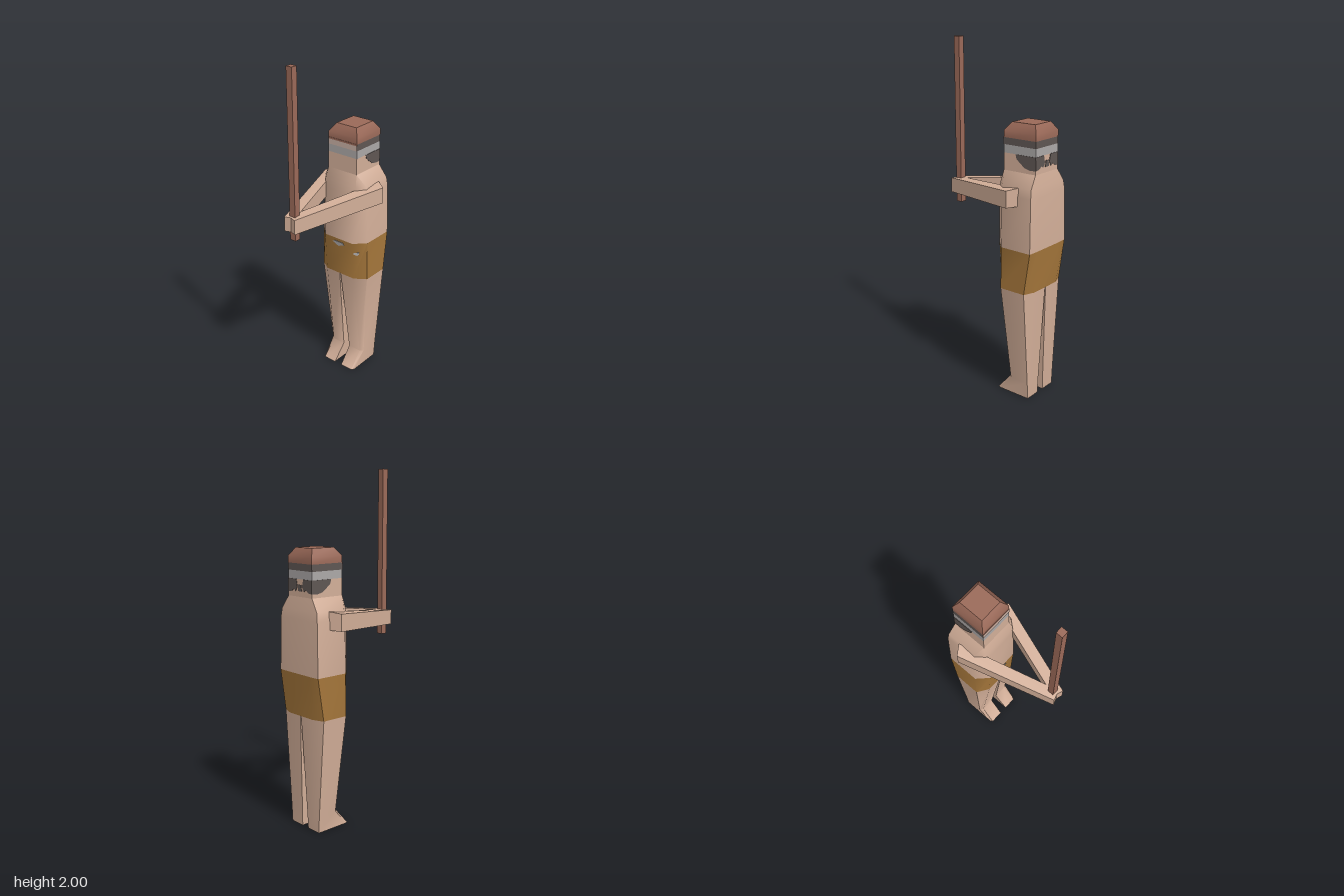
import * as THREE from 'three';
import { toCreasedNormals } from 'three/addons/utils/BufferGeometryUtils.js';

const mat = (name, color) => {
  const m = new THREE.MeshStandardMaterial({ color });
  m.name = name;
  return m;
};

// Mirror a half outline (front to back, x > 0) into a closed ring
const flip = (pts) => pts.map(([x, z]) => [-x, z]).reverse();
const full = (half) => [...half, ...flip(half)];

// Skin a stack of rings [y, points] from bottom to top, closing both ends
function loft(rings) {
  const n = rings[0][1].length;
  const pos = rings.flatMap(([y, pts]) => pts.flatMap(([x, z]) => [x, y, z]));
  const idx = [];
  for (let r = 0; r < rings.length - 1; r++) {
    for (let i = 0; i < n; i++) {
      const a = r * n + i, b = r * n + (i + 1) % n;
      idx.push(a, b, b + n, a, b + n, a + n);
    }
  }
  const top = (rings.length - 1) * n;
  for (let i = 1; i < n - 1; i++) {
    idx.push(0, i + 1, i, top, top + i, top + i + 1);
  }
  const g = new THREE.BufferGeometry();
  g.setAttribute('position', new THREE.Float32BufferAttribute(pos, 3));
  g.setIndex(idx);
  return toCreasedNormals(g, 0.9);
}

// Thin painted plate from a 2D outline
function plate(points) {
  const shape = new THREE.Shape(points.map(([x, y]) => new THREE.Vector2(x, y)));
  return new THREE.ExtrudeGeometry(shape, { depth: 0.003, bevelEnabled: false });
}

export function createModel() {
  const model = new THREE.Group();
  model.name = 'figure';
  const skin = mat('skin', 0xd2ae98);
  const brown = mat('reddish brown', 0x9a6958);
  const cloth = mat('ochre cloth', 0xa3753a);
  const grey = mat('grey band', 0xaba7a6);
  const dark = mat('dark hair', 0x5f5653);
  const pale = mat('pale brow', 0xc6aea2);

  const add = (name, geometry, material, parent = model) => {
    const m = new THREE.Mesh(geometry, material);
    m.name = name;
    parent.add(m);
    return m;
  };

  // Torso and shorts
  const waist = full([[0.1, -0.078], [0.163, -0.14], [0.163, -0.335], [0.1, -0.338]]);
  const hip = full([[0.1, -0.095], [0.167, -0.14], [0.167, -0.3], [0.1, -0.325]]);
  const headRing = full([[0.1, -0.108], [0.1, -0.108], [0.1, -0.32], [0.1, -0.32]]);
  add('torso', loft([
    [0.9, waist],
    [1.2, full([[0.11, -0.087], [0.156, -0.14], [0.156, -0.332], [0.1, -0.337]])],
    [1.25, full([[0.11, -0.092], [0.148, -0.138], [0.148, -0.328], [0.1, -0.332]])],
    [1.32, headRing],
  ]), skin);
  add('shorts', loft([[0.66, hip], [0.9, waist]]), cloth);

  // Worn patches on the shorts
  const patch = add('centrePatch', plate([[-0.045, 0.005], [-0.03, 0.014], [0.03, 0.014],
    [0.04, 0], [0.015, -0.006], [0, -0.016], [-0.02, -0.006]]), grey);
  patch.position.set(0, 0.867, -0.0805);
  patch.rotation.x = 0.07;
  const small = add('sidePatch', plate([[-0.016, 0.009], [0.018, 0.009], [0.018, -0.003],
    [0.005, -0.011], [-0.014, -0.002]]), grey);
  small.position.set(0.115, 0.83, -0.0975);
  small.rotation.y = 0.76;

  // Legs with wedge feet
  const legRings = [
    [0, [[0.025, -0.08], [0.108, -0.08], [0.118, -0.098], [0.118, -0.3], [0.1, -0.3], [0.025, -0.3]]],
    [0.1, [[0.022, -0.165], [0.105, -0.165], [0.124, -0.182], [0.124, -0.3], [0.1, -0.303], [0.022, -0.303]]],
    [0.66, [[0.003, -0.095], [0.1, -0.095], [0.167, -0.14], [0.167, -0.3], [0.1, -0.325], [0.003, -0.325]]],
  ];
  add('leftLeg', loft(legRings), skin);
  add('rightLeg', loft(legRings.map(([y, p]) => [y, flip(p)])), skin);

  // Arms reaching forward and meeting on the pole: corners are [x, z, lower y, upper y]
  const armCorners = [
    [-0.022, 0.317, 1.105, 1.19], [0.036, 0.337, 1.105, 1.19],
    [0.21, -0.21, 1.145, 1.24], [0.153, -0.248, 1.15, 1.25],
  ];
  for (const s of [1, -1]) {
    const c = s > 0 ? armCorners : armCorners.map(([x, ...r]) => [-x, ...r]).reverse();
    const ring = c.map(([x, z]) => [x, z]);
    const g = loft([[0, ring], [1, ring]]);
    // Slope the arm: find the corner by position and set its height
    const p = g.attributes.position;
    for (let i = 0; i < p.count; i++) {
      const k = c.find(([x, z]) => Math.hypot(x - p.getX(i), z - p.getZ(i)) < 1e-4);
      p.setY(i, p.getY(i) < 0.5 ? k[2] : k[3]);
    }
    add(s > 0 ? 'leftArm' : 'rightArm', toCreasedNormals(g, 0.5), skin);
  }

  // Pole
  const pole = add('pole', new THREE.BoxGeometry(0.038, 0.95, 0.037), brown);
  pole.position.set(0, 1.525, 0.294);

  // Head in coloured layers
  const head = new THREE.Group();
  head.name = 'head';
  model.add(head);
  const layer = (name, y0, y1, m) => add(name, loft([[y0, headRing], [y1, headRing]]), m, head);
  layer('face', 1.32, 1.415, skin);
  layer('greyBand', 1.415, 1.46, grey);
  layer('hairBand', 1.46, 1.498, dark);
  add('cap', loft([
    [1.498, headRing],
    [1.535, headRing],
    [1.58, full([[0.069, -0.14], [0.069, -0.14], [0.069, -0.292], [0.069, -0.292]])],
  ]), brown, head);
  const brow = add('brow', plate([[-0.1, 1.46], [0.1, 1.46], [0.1, 1.49], [-0.1, 1.49]]), pale, head);
  brow.position.z = -0.109;
  const brim = add('capFront', plate([[-0.1, 1.49], [0.1, 1.49], [0.1, 1.5], [-0.1, 1.5]]), brown, head);
  brim.position.z = -0.109;

  // Hair patches on the sides and back of the head
  const sideHair = [[0.188, 1.415], [0.195, 1.39], [0.22, 1.37], [0.25, 1.348],
    [0.285, 1.34], [0.32, 1.342], [0.32, 1.415]];
  for (const s of [1, -1]) {
    const m = add(s > 0 ? 'leftSideHair' : 'rightSideHair',
      plate(s > 0 ? sideHair : sideHair.map(([z, y]) => [-z, y]).reverse()), dark, head);
    m.rotation.y = s * Math.PI / 2;
    m.position.x = s * 0.099;
    const b = add(s > 0 ? 'leftBackHair' : 'rightBackHair', plate([[0.1, 1.415], [0.1, 1.342],
      [0.075, 1.345], [0.05, 1.36], [0.035, 1.35], [0.02, 1.375], [0.03, 1.415]]
      .map(([x, y]) => [s * x, y])), dark, head);
    b.position.z = -0.3225;
  }
  const nape = add('napeHair', plate([[-0.012, 1.385], [0.012, 1.385], [0.016, 1.35], [-0.016, 1.35]]), dark, head);
  nape.position.z = -0.3225;

  return model;
}
